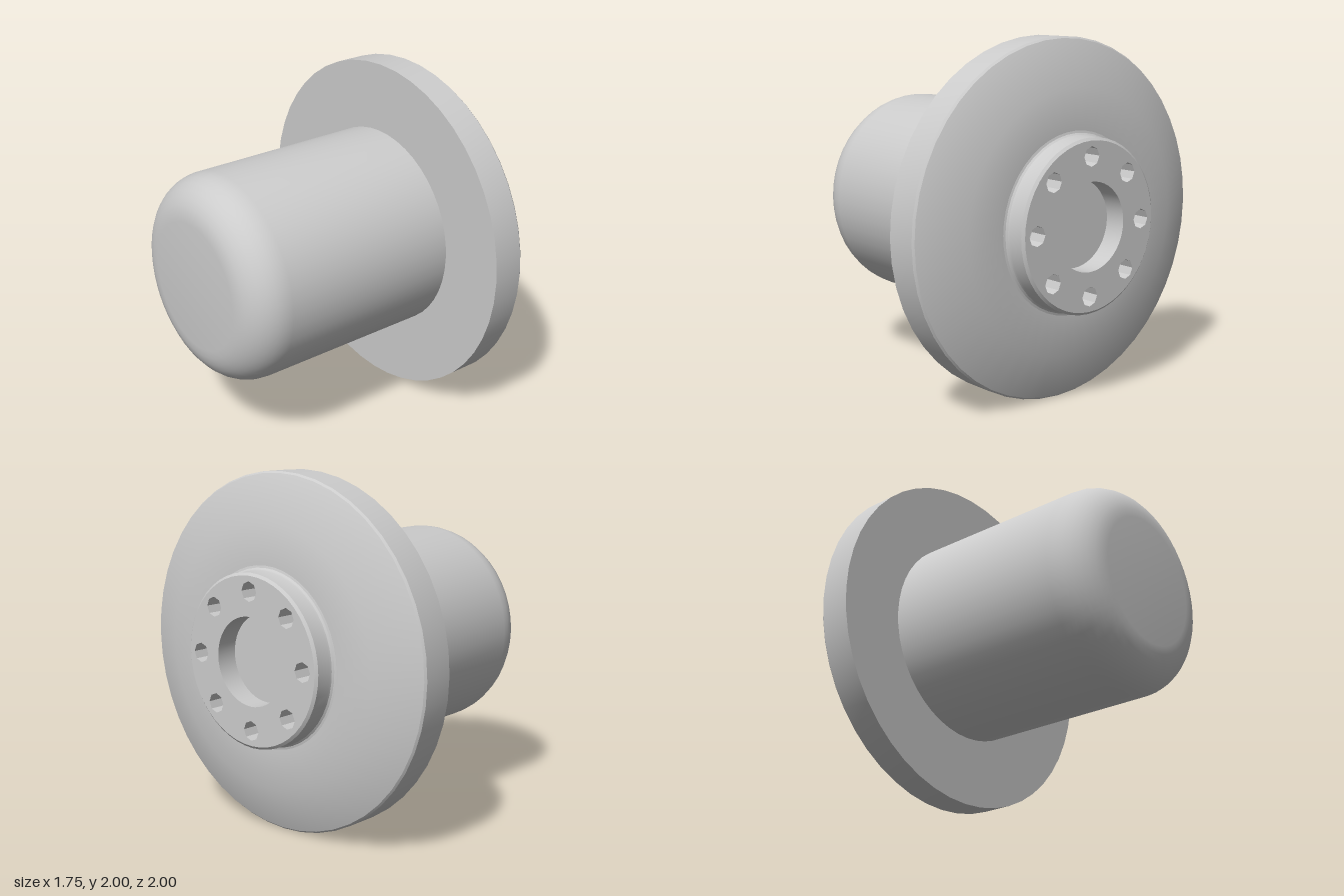
import * as THREE from 'three';
import { toCreasedNormals } from 'three/addons/utils/BufferGeometryUtils.js';

const SIDES = 48;
const BOLTS = 8;
const BOLT_CIRCLE = 0.38, BOLT_R = 0.055, BORE_R = 0.245;
const FACE_X = 0.87, FACE_R = 0.465, FLOOR_X = 0.745;

const material = new THREE.MeshStandardMaterial({ color: 0xcccccc });

// Revolves [radius, x] pairs around the x axis
function turned(name, profile, sides = SIDES) {
  const points = profile.map(([r, x]) => new THREE.Vector2(r, x));
  const geometry = new THREE.LatheGeometry(points, sides).rotateZ(-Math.PI / 2);
  const mesh = new THREE.Mesh(toCreasedNormals(geometry, 0.45), material);
  mesh.name = name;
  return mesh;
}

// Profile points along a quarter-round corner
function arc(r, x, radius, from, to, steps) {
  return Array.from({ length: steps + 1 }, (_, i) => {
    const a = from + ((to - from) * i) / steps;
    return [r + radius * Math.cos(a), x + radius * Math.sin(a)];
  });
}

function circle(cx, cy, radius, sides) {
  return Array.from({ length: sides }, (_, i) => {
    const a = (i / sides) * Math.PI * 2;
    return new THREE.Vector2(cx + radius * Math.cos(a), cy + radius * Math.sin(a));
  });
}

export function createModel() {
  const model = new THREE.Group();
  model.name = 'flangedHub';
  const parts = new THREE.Group();
  parts.position.y = 1;
  model.add(parts);

  // Cylindrical body with a rounded closed end
  parts.add(turned('body', [
    [0, -0.88],
    ...arc(0.37, -0.65, 0.23, -Math.PI / 2, 0, 8),
    [0.6, 0.44],
  ]));

  // Wide disc with a bevelled outer face
  parts.add(turned('flange', [
    [0.6, 0.44], [1, 0.44], [1, 0.625], [0.99, 0.637], [0.735, 0.745], [0.505, 0.745],
  ]));

  // Raised boss with a small fillet at its root and a chamfered rim
  parts.add(turned('boss', [
    ...arc(0.505, 0.77, 0.025, -Math.PI / 2, -Math.PI, 3),
    [0.48, 0.857], [FACE_R, FACE_X],
  ]));

  // Boss face, pierced by the bore and the bolt circle
  const face = new THREE.Shape(circle(0, 0, FACE_R, SIDES));
  face.holes.push(new THREE.Path(circle(0, 0, BORE_R, SIDES)));

  for (let i = 0; i < BOLTS; i++) {
    const a = (i / BOLTS) * Math.PI * 2;
    const u = BOLT_CIRCLE * Math.cos(a), v = BOLT_CIRCLE * Math.sin(a);
    face.holes.push(new THREE.Path(circle(u, v, BOLT_R, 8)));

    // Blind drilled hole with a conical bottom
    const hole = turned('boltHole', [[BOLT_R, FACE_X], [BOLT_R, 0.765], [0, FLOOR_X]], 8);
    hole.position.set(0, v, -u);
    parts.add(hole);
  }

  const bossFace = new THREE.Mesh(
    new THREE.ShapeGeometry(face).rotateY(Math.PI / 2).translate(FACE_X, 0, 0), material);
  bossFace.name = 'bossFace';
  parts.add(bossFace);

  // Shallow central bore with a flat floor
  parts.add(turned('bore', [[BORE_R, FACE_X], [BORE_R, FLOOR_X], [0, FLOOR_X]]));

  return model;
}
